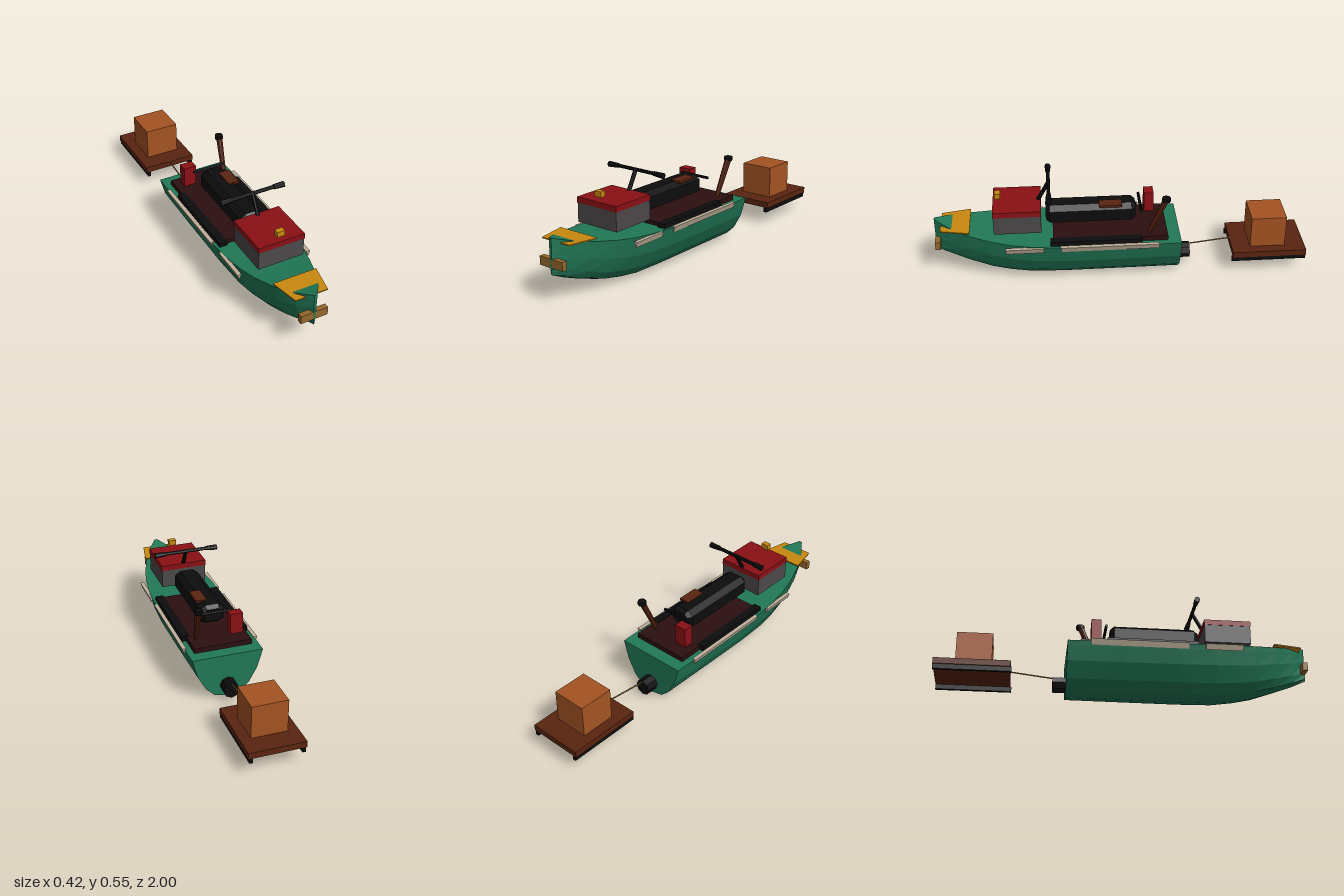
import * as THREE from 'three';

const mat = (name, color) => {
  const m = new THREE.MeshStandardMaterial({ color });
  m.name = name;
  return m;
};

export function createModel() {
  const green = mat('hull green', 0x217857), red = mat('roof red', 0x8a1014), grey = mat('cabin grey', 0x4c484a);
  const yellow = mat('trim yellow', 0xc8880f), crateOrange = mat('crate orange', 0xa45322), brown = mat('wood brown', 0x5a2410);
  const maroon = mat('deck maroon', 0x2b0f10), cream = mat('fender cream', 0xbfb09a);
  const wood = mat('light wood', 0x94682e), black = mat('black', 0x0d0d0d);

  const boat = new THREE.Group();
  boat.name = 'boatWithSled';

  const add = (name, geometry, material) => {
    const mesh = new THREE.Mesh(geometry, material);
    mesh.name = name;
    boat.add(mesh);
    return mesh;
  };
  // Box given by its limits on each axis
  const box = (name, material, [x0, x1], [y0, y1], [z0, z1]) => {
    const g = new THREE.BoxGeometry(x1 - x0, y1 - y0, z1 - z0);
    g.translate((x0 + x1) / 2, (y0 + y1) / 2, (z0 + z1) / 2);
    return add(name, g, material);
  };
  // Faceted rod between two points
  const rod = (name, material, from, to, r0, r1 = r0, sides = 8) => {
    const a = new THREE.Vector3(...from), b = new THREE.Vector3(...to);
    const dir = b.clone().sub(a);
    const g = new THREE.CylinderGeometry(r1, r0, dir.length(), sides).toNonIndexed();
    g.computeVertexNormals();
    const mesh = add(name, g, material);
    mesh.position.copy(a).add(b).multiplyScalar(0.5);
    mesh.quaternion.setFromUnitVectors(new THREE.Vector3(0, 1, 0), dir.normalize());
    return mesh;
  };

  // Hull: rounded section lofted along z, rows are z, half width, keel y, deck y
  const stations = [
    [-0.31, 0.195, 0.003, 0.25], [0, 0.2, 0.003, 0.25], [0.3, 0.203, 0.003, 0.253], [0.48, 0.195, 0.005, 0.262],
    [0.6, 0.178, 0.02, 0.269], [0.7, 0.155, 0.04, 0.28], [0.82, 0.115, 0.08, 0.298],
    [0.92, 0.066, 0.118, 0.32], [1, 0.008, 0.155, 0.343],
  ];
  const half = [[1, 1], [0.96, 0.88], [0.85, 0.58], [0.62, 0.25], [0.38, 0.07]];
  const section = [...half, [0, 0], ...half.map(([u, v]) => [-u, v]).reverse()];
  const n = section.length, positions = [], index = [];
  for (const [z, w, keel, deck] of stations)
    for (const [u, v] of section) positions.push(u * w, keel + v * (deck - keel), z);
  for (let i = 0; i < stations.length - 1; i++) {
    for (let j = 0; j < n; j++) {
      const k = (j + 1) % n;
      const a = i * n + j, b = i * n + k, c = b + n, d = a + n;
      index.push(a, c, b, a, d, c);
    }
  }
  const last = (stations.length - 1) * n;
  for (let j = 1; j < n - 1; j++) index.push(0, j, j + 1, last, last + j + 1, last + j);
  let hull = new THREE.BufferGeometry();
  hull.setAttribute('position', new THREE.Float32BufferAttribute(positions, 3));
  hull.setIndex(index);
  hull = hull.toNonIndexed();
  hull.computeVertexNormals();
  add('hull', hull, green);

  // Bow trim plate and bumper
  const trim = new THREE.Shape([[-0.122, -0.81], [0.122, -0.81], [0.09, -0.965], [-0.09, -0.965]]
    .map(([x, y]) => new THREE.Vector2(x, y)));
  const trimGeometry = new THREE.ExtrudeGeometry(trim, { depth: 0.006, bevelEnabled: false });
  trimGeometry.rotateX(-Math.PI / 2).translate(0, 0.311, 0);
  add('bowTrim', trimGeometry, yellow);
  box('bowBumper', wood, [-0.075, 0.075], [0.19, 0.236], [0.972, 1]);

  // Deck floor, side runners and fenders
  box('deckFloor', maroon, [-0.16, 0.16], [0.245, 0.277], [-0.24, 0.37]);
  for (const s of [-1, 1]) {
    const x = s * 0.163;
    box('sideRunner', black, [x - 0.022, x + 0.022], [0.247, 0.28], [-0.1, 0.385]);
    for (const [z0, z1] of [[-0.19, 0.33], [0.42, 0.62]]) {
      const f = new THREE.Shape([[-0.011, 0.258], [0, 0.227], [0.011, 0.258]].map(([px, py]) => new THREE.Vector2(px, py)));
      const g = new THREE.ExtrudeGeometry(f, { depth: z1 - z0, bevelEnabled: false });
      g.translate(s * 0.199, 0, z0);
      add('fender', g, cream);
    }
  }

  // Long bevelled seat with a patch on top
  const seatShape = new THREE.Shape([[-0.05, -0.025], [-0.03, -0.035], [0.03, -0.035], [0.05, -0.025],
    [0.05, 0.02], [0.03, 0.035], [-0.03, 0.035], [-0.05, 0.02]].map(([x, y]) => new THREE.Vector2(x, y)));
  const seat = new THREE.ExtrudeGeometry(seatShape, {
    depth: 0.436, bevelThickness: 0.022, bevelSize: 0.018, bevelSegments: 1,
  });
  seat.translate(0, 0.365, -0.053);
  add('seat', seat, black);
  box('seatPatch', brown, [0.01, 0.07], [0.41, 0.423], [0, 0.12]);
  rod('seatBar', black, [-0.09, 0.395, -0.1], [0.09, 0.395, -0.1], 0.008);

  // Cabin, roof and lamp
  box('cabin', grey, [-0.128, 0.128], [0.308, 0.41], [0.43, 0.68]);
  box('cabinRoof', red, [-0.13, 0.13], [0.41, 0.44], [0.428, 0.682]);
  box('lamp', yellow, [-0.021, 0.021], [0.46, 0.49], [0.64, 0.67]);

  // Steering column and handlebar
  rod('steeringColumn', black, [0, 0.43, 0.445], [0, 0.54, 0.385], 0.011);
  rod('handlebar', black, [-0.15, 0.536, 0.385], [0.15, 0.536, 0.385], 0.01);
  for (const s of [-1, 1]) rod('grip', black, [s * 0.12, 0.536, 0.385], [s * 0.181, 0.534, 0.385], 0.013, 0.016);

  // Rear deck: fuel can and leaning chimney
  box('fuelCan', red, [-0.13, -0.06], [0.295, 0.41], [-0.182, -0.13]);
  rod('chimney', brown, [0.12, 0.285, -0.142], [0.133, 0.48, -0.225], 0.013, 0.018);
  rod('chimneyCap', black, [0.132, 0.474, -0.228], [0.132, 0.496, -0.228], 0.023);

  // Outboard motor and tow rope
  rod('motor', black, [0, 0.073, -0.3], [0, 0.073, -0.378], 0.044);
  rod('towRope', wood, [0, 0.11, -0.37], [0, 0.138, -0.605], 0.004, 0.004, 6);

  // Towed sled with crate
  box('sledDeck', brown, [-0.15, 0.15], [0.105, 0.138], [-1, -0.6]);
  for (const s of [-1, 1]) box('sledRunner', black, [s * 0.135 - 0.009, s * 0.135 + 0.009], [0.079, 0.105], [-1, -0.595]);
  box('crate', crateOrange, [-0.095, 0.095], [0.138, 0.315], [-0.89, -0.7]);

  return boat;
}
